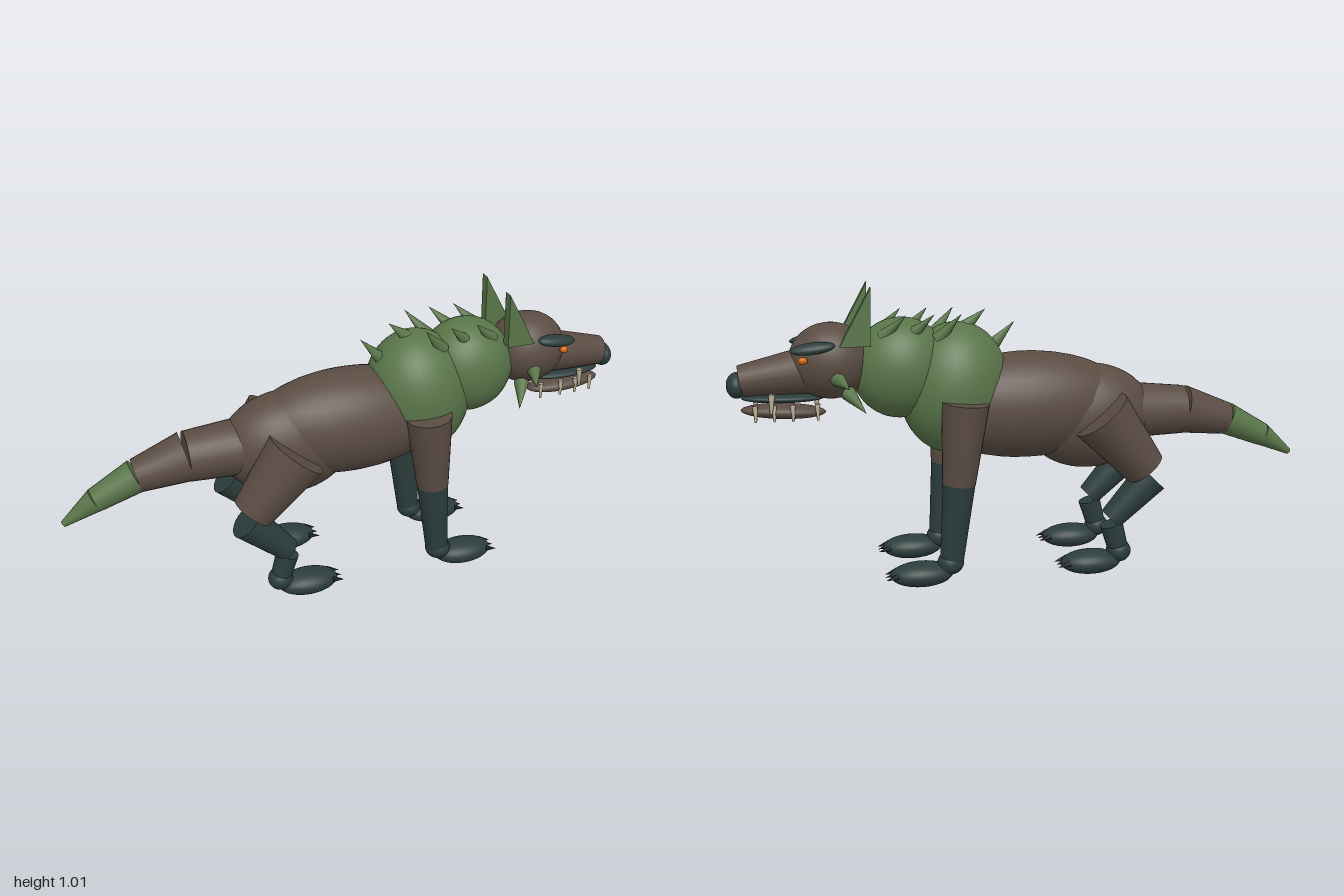
import * as THREE from 'three';

const mat = (name, color) => {
  const m = new THREE.MeshStandardMaterial({ color });
  m.name = name;
  return m;
};

export function createModel() {
  const brown = mat('brown hide', 0x5a4c43);
  const green = mat('mossy green', 0x597549);
  const dark = mat('dark teal', 0x2b3d3b);
  const bone = mat('bone', 0xc2b59b);
  const amber = mat('amber', 0xd0690f);
  const black = mat('claw black', 0x1c2426);

  const model = new THREE.Group();
  model.name = 'spinedHound';

  const add = (name, geo, material) => {
    const mesh = new THREE.Mesh(geo, material);
    mesh.name = name;
    model.add(mesh);
    return mesh;
  };
  // Ellipsoid with an optional tilt in the side plane
  const ball = (name, material, p, r, tilt = 0) => {
    const mesh = add(name, new THREE.SphereGeometry(1, 32, 20), material);
    mesh.scale.set(...r);
    mesh.position.set(...p);
    mesh.rotation.z = tilt;
    return mesh;
  };
  // Tapered limb or spike from a to b
  const limb = (name, material, a, b, ra, rb, sides = 24) => {
    const from = new THREE.Vector3(...a), to = new THREE.Vector3(...b);
    const dir = to.clone().sub(from);
    const mesh = add(name, new THREE.CylinderGeometry(rb, ra, dir.length(), sides), material);
    mesh.position.copy(from).add(to).multiplyScalar(0.5);
    mesh.quaternion.setFromUnitVectors(new THREE.Vector3(0, 1, 0), dir.normalize());
    return mesh;
  };

  // Trunk
  ball('hips', brown, [-0.22, 0.535, 0], [0.235, 0.185, 0.15]);
  ball('belly', brown, [0, 0.585, 0], [0.37, 0.185, 0.165]);
  ball('chest', green, [0.25, 0.655, 0], [0.185, 0.225, 0.175], 0.15);
  ball('neck', green, [0.43, 0.73, 0], [0.165, 0.17, 0.145], 0.3);

  // Tail
  const tail = [[-0.28, 0.55, 0.105], [-0.57, 0.54, 0.086], [-0.74, 0.498, 0.058], [-0.88, 0.432, 0.042], [-0.993, 0.36, 0.011]];
  for (let i = 0; i < 4; i++) {
    const [x0, y0, r0] = tail[i], [x1, y1, r1] = tail[i + 1];
    limb('tailSegment', i < 2 ? brown : green, [x0, y0, 0], [x1, y1, 0], r0, r1);
  }

  // Head, muzzle and jaw
  ball('head', brown, [0.66, 0.762, 0], [0.138, 0.127, 0.12]);
  limb('muzzle', brown, [0.70, 0.738, 0], [0.955, 0.704, 0], 0.083, 0.052);
  ball('nose', dark, [0.966, 0.69, 0], [0.034, 0.043, 0.055]);
  ball('mouthLining', dark, [0.82, 0.643, 0], [0.135, 0.016, 0.05], 0.02);
  ball('lowerJaw', brown, [0.82, 0.598, 0], [0.138, 0.025, 0.052], 0.06);

  // Spines along the middle of the back
  limb('backSpine', green, [0.125, 0.785, 0], [0.04, 0.875, 0], 0.026, 0, 10);
  limb('backSpine', green, [0.215, 0.855, 0], [0.14, 0.92, 0], 0.026, 0, 10);

  // Side profile of the ear
  const earShape = new THREE.Shape();
  earShape.moveTo(0.535, 0.82);
  earShape.lineTo(0.635, 0.82);
  earShape.lineTo(0.53, 1.01);
  earShape.closePath();

  for (const s of [1, -1]) {
    // Ears, brows and eyes
    const ear = add('ear', new THREE.ExtrudeGeometry(earShape, { depth: 0.037, bevelEnabled: false }), green);
    ear.position.z = s > 0 ? 0.073 : -0.11;
    const brow = ball('brow', dark, [0.72, 0.82, s * 0.109], [0.072, 0.017, 0.026], -0.12);
    brow.rotation.x = s * 0.4;
    ball('eye', amber, [0.752, 0.781, s * 0.108], [0.015, 0.012, 0.012]);

    // Cheek spikes
    limb('cheekSpike', green, [0.645, 0.718, s * 0.1], [0.61, 0.697, s * 0.195], 0.026, 0, 10);
    limb('cheekSpike', green, [0.61, 0.665, s * 0.085], [0.56, 0.615, s * 0.18], 0.026, 0, 10);

    // Teeth
    limb('fang', bone, [0.855, 0.665, s * 0.054], [0.86, 0.6, s * 0.056], 0.011, 0.004, 8);
    [0.71, 0.79, 0.85, 0.91].forEach((x, i) => {
      limb('tooth', bone, [x, 0.627, s * (0.048 - i * 0.002)], [x, 0.572, s * (0.05 - i * 0.002)], 0.009, 0.004, 8);
    });

    // Paired back spines
    [[0.235, 0.845], [0.325, 0.86], [0.417, 0.858]].forEach(([x, y]) => {
      limb('sideSpine', green, [x + 0.075, y - 0.015, s * 0.065], [x, 0.917, s * 0.1], 0.025, 0, 10);
    });

    // Front leg
    limb('frontUpperLeg', brown, [0.235, 0.63, s * 0.15], [0.26, 0.355, s * 0.148], 0.08, 0.056);
    limb('frontLowerLeg', dark, [0.26, 0.356, s * 0.148], [0.288, 0.08, s * 0.144], 0.055, 0.04);
    ball('frontAnkle', dark, [0.292, 0.078, s * 0.144], [0.045, 0.04, 0.045]);

    // Hind leg
    limb('thigh', brown, [-0.23, 0.567, s * 0.143], [-0.388, 0.372, s * 0.148], 0.108, 0.073);
    limb('hindLowerLeg', dark, [-0.412, 0.34, s * 0.148], [-0.27, 0.195, s * 0.145], 0.062, 0.042);
    limb('hock', dark, [-0.272, 0.178, s * 0.145], [-0.3, 0.08, s * 0.144], 0.04, 0.035);
    ball('hindAnkle', dark, [-0.3, 0.078, s * 0.144], [0.043, 0.04, 0.043]);

    // Paws with three claws each
    for (const x of [0.39, -0.2]) {
      ball('paw', dark, [x, 0.045, s * 0.144], [0.106, 0.042, 0.061]);
      for (const k of [-1, 0, 1]) {
        const z = s * 0.144 + k * 0.03;
        limb('claw', black, [x + 0.08, 0.052, z], [x + 0.124, 0.04, z], 0.012, 0, 8);
      }
    }
  }
  return model;
}
